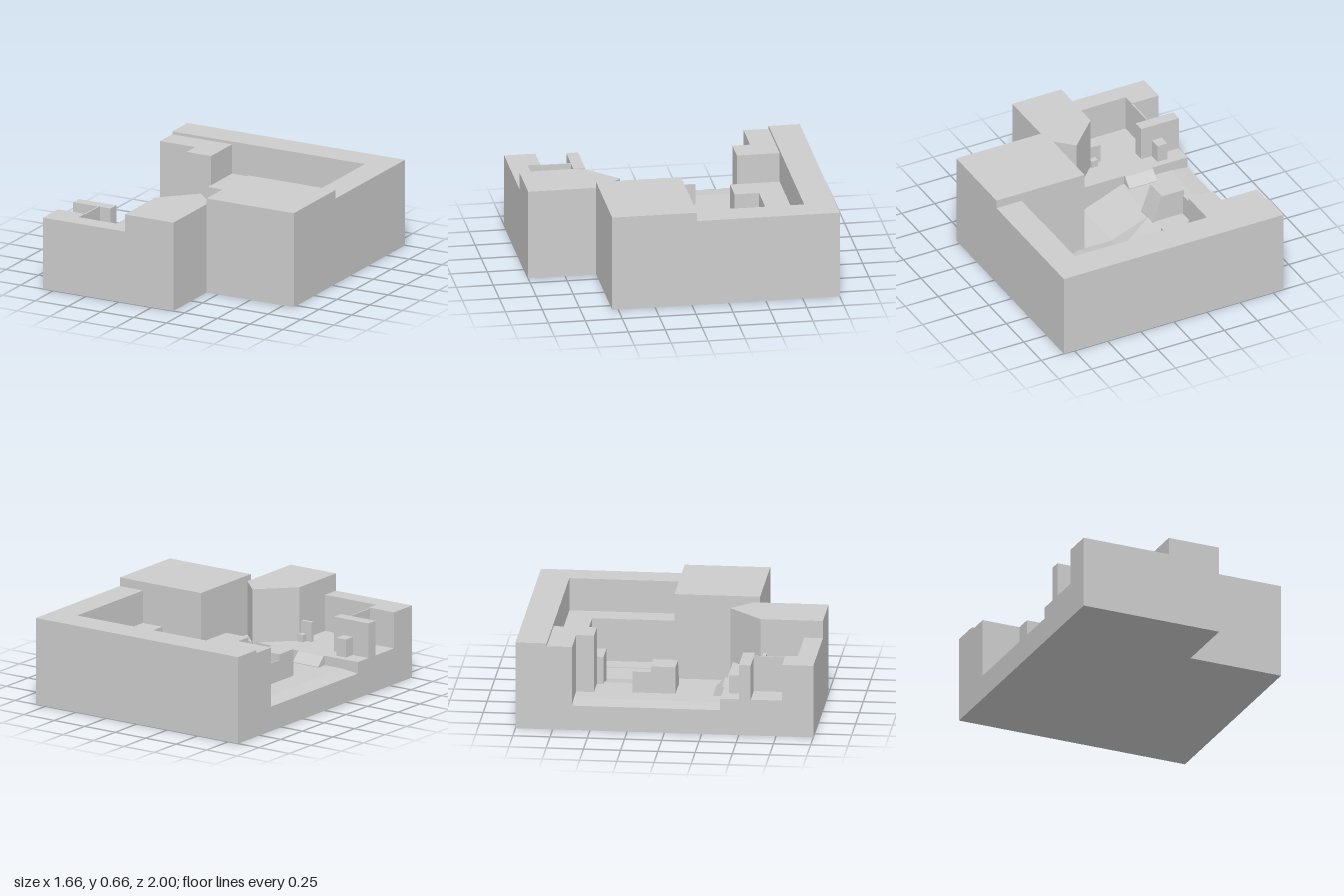
import * as THREE from 'three';

export function createModel() {
  const model = new THREE.Group();
  model.name = 'courtyardBlock';
  const stone = new THREE.MeshStandardMaterial({ color: 0xcccccc });
  stone.name = 'paleGrey';

  const add = (name, geometry) => {
    const mesh = new THREE.Mesh(geometry, stone);
    mesh.name = name;
    model.add(mesh);
    return mesh;
  };

  // Box given by its limits on each axis
  const block = (name, x0, x1, z0, z1, top, base = 0) => {
    const g = new THREE.BoxGeometry(x1 - x0, top - base, z1 - z0);
    g.translate((x0 + x1) / 2, (top + base) / 2, (z0 + z1) / 2);
    return add(name, g);
  };

  // Cross-section in x and y, extruded along z
  const prism = (name, points, z0, z1) => {
    const shape = new THREE.Shape(points.map(([x, y]) => new THREE.Vector2(x, y)));
    const g = new THREE.ExtrudeGeometry(shape, { depth: z1 - z0, bevelEnabled: false });
    g.translate(0, 0, z0);
    return add(name, g);
  };

  // Sunken ground: a segmented box whose top steps down towards the middle
  const xs = [-0.83, -0.7, -0.33, -0.04, 0.2, 0.35, 0.48];
  const zs = [-0.62, -0.2, -0.035, 0.375];
  const upper = [0.17, 0.185, 0.185, 0.12, 0.12, 0.08, 0.08];
  const lower = [0.17, 0.185, 0.185, 0.07, 0.07, 0.03, 0.03];
  const nx = xs.length - 1, nz = zs.length - 1;
  const ground = new THREE.BoxGeometry(nx, 1, nz, nx, 1, nz);
  const p = ground.attributes.position;
  for (let i = 0; i < p.count; i++) {
    const ix = Math.round(p.getX(i) + nx / 2);
    const iz = Math.round(p.getZ(i) + nz / 2);
    const heights = iz < 2 ? upper : lower;
    p.setXYZ(i, xs[ix], p.getY(i) > 0 ? heights[ix] : 0, zs[iz]);
  }
  const facets = ground.toNonIndexed();
  facets.computeVertexNormals();
  add('sunkenGround', facets);

  // Outer blocks around the back and right
  block('backBlock', -0.83, 0.83, -1, -0.79, 0.6);
  block('sideBlock', 0.64, 0.83, -0.79, -0.035, 0.6);
  block('tallSideBlock', 0.165, 0.83, -0.035, 0.54, 0.66);

  // Tall step and lower ledges inside the back corner
  block('cornerBlock', -0.83, -0.56, -0.79, -0.62, 0.58);
  block('cornerBlockProjection', -0.56, -0.375, -0.79, -0.5, 0.58);
  block('backLedge', -0.375, 0.64, -0.79, -0.62, 0.375);
  block('ledgeProjection', -0.375, -0.19, -0.62, -0.455, 0.375);
  block('sideLedge', 0.48, 0.64, -0.62, -0.035, 0.375);

  // Front terrace and its ramp
  block('frontTerrace', -0.83, 0.165, 0.375, 1, 0.25);
  const ramp = prism('terraceRamp',
    [[-0.375, 0], [-0.3, 0], [-0.3, 0.19], [-0.36, 0.25], [-0.375, 0.25]], 0, 0.21);
  ramp.rotation.y = Math.PI / 2;
  ramp.position.x = -0.56;

  // Front building with a pointed plan
  const plan = [[-0.205, -1], [0.165, -1], [0.165, -0.5], [0.02, -0.355], [-0.205, -0.58]];
  const building = new THREE.ExtrudeGeometry(
    new THREE.Shape(plan.map(([x, y]) => new THREE.Vector2(x, y))),
    { depth: 0.62, bevelEnabled: false });
  building.rotateX(-Math.PI / 2);
  add('pointedBuilding', building);

  // Terrace walls
  block('frontWall', -0.83, -0.205, 0.875, 1, 0.5, 0.2);
  block('frontWallCorner', -0.83, -0.625, 0.79, 0.875, 0.5, 0.2);
  block('thinPartition', -0.635, -0.625, 0.58, 0.79, 0.495, 0.2);
  block('terraceWall', -0.83, -0.545, 0.5, 0.58, 0.49, 0.2);
  block('terraceCrate', -0.7, -0.625, 0.42, 0.5, 0.375, 0.2);

  // Small seat beside the building
  block('seat', -0.25, -0.2, 0.56, 0.6, 0.3, 0.24);
  block('seatBack', -0.29, -0.2, 0.6, 0.625, 0.385, 0.24);

  // Central block with one steep side, and a thin panel
  prism('centralBlock', [[-0.54, 0.1], [-0.305, 0.1], [-0.305, 0.18], [-0.375, 0.37], [-0.54, 0.37]],
    -0.12, 0.045);
  block('thinPanel', -0.54, -0.532, -0.245, -0.12, 0.33, 0.15);

  return model;
}
